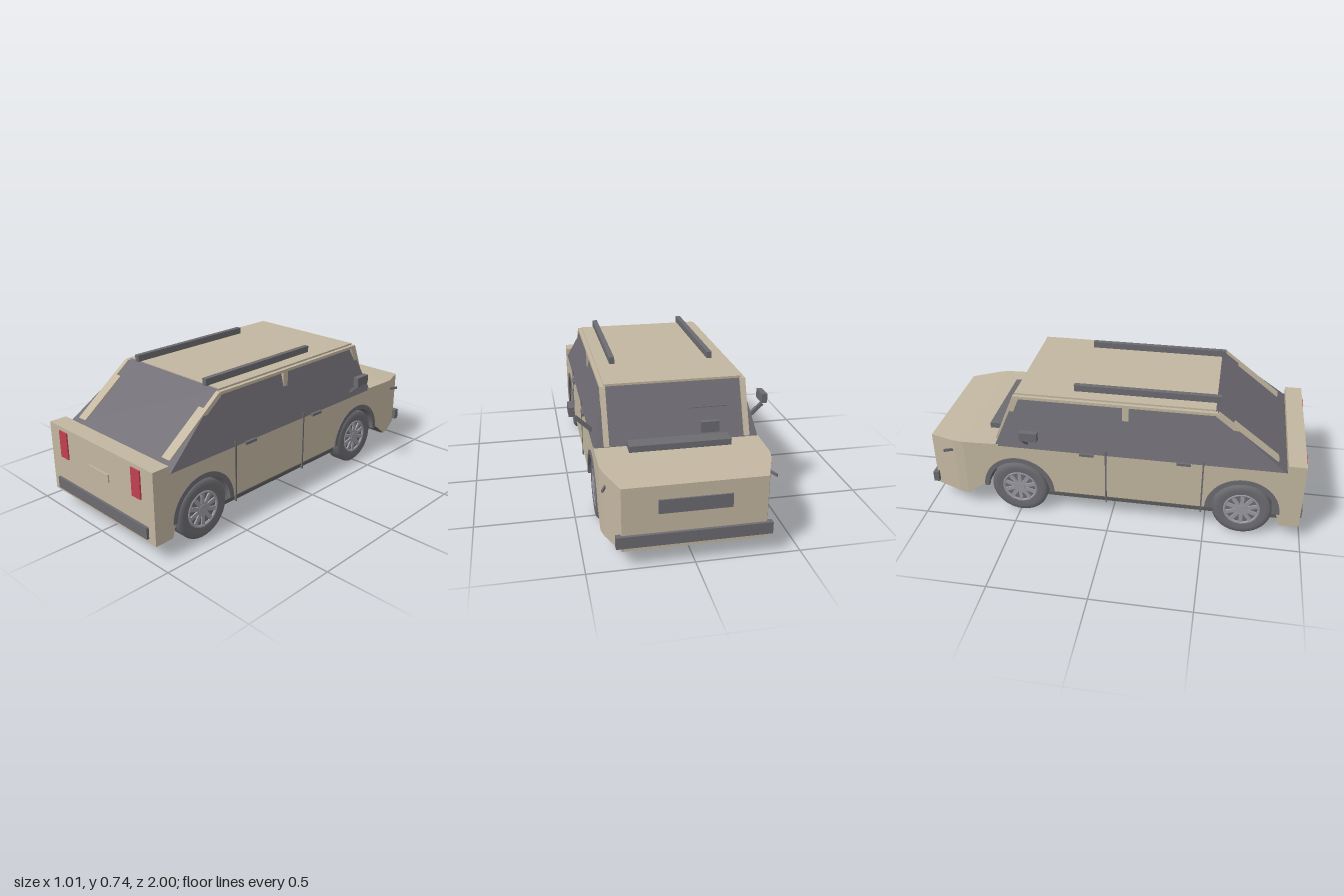
import * as THREE from 'three';

const mat = (name, color, side = THREE.FrontSide) => {
  const m = new THREE.MeshStandardMaterial({ color, side });
  m.name = name;
  return m;
};

export function createModel() {
  const paint = mat('beige paint', 0xc2b6a0);
  const trim = mat('grey trim', 0x6c6b70);
  const glass = mat('dark glass', 0x6f6c74);
  const under = mat('underbody', 0x5c5c5c);
  const alloy = mat('alloy', 0x9c9aa2);
  const red = mat('tail light red', 0xc0404f);

  const car = new THREE.Group();
  car.name = 'car';
  const add = (name, geo, material, parent = car) => {
    const m = new THREE.Mesh(geo, material);
    m.name = name;
    parent.add(m);
    return m;
  };
  // Box given by its limits on each axis
  const box = (name, [x0, x1], [y0, y1], [z0, z1], material, parent) => {
    const g = new THREE.BoxGeometry(x1 - x0, y1 - y0, z1 - z0);
    g.translate((x0 + x1) / 2, (y0 + y1) / 2, (z0 + z1) / 2);
    return add(name, g, material, parent);
  };
  // Side outline of [z, y] points, extruded from x0 to x1
  const across = (shape, x0, x1) => {
    const s = Array.isArray(shape) ? new THREE.Shape(shape.map(p => new THREE.Vector2(...p))) : shape;
    const g = new THREE.ExtrudeGeometry(s, { depth: x1 - x0, bevelEnabled: false, curveSegments: 20 });
    return g.rotateY(-Math.PI / 2).translate(x1, 0, 0);
  };
  const both = fn => [-1, 1].forEach(fn);
  const span = (s, a, b) => (s > 0 ? [a, b] : [-b, -a]);

  const axles = [0.69, -0.493], hubY = 0.153, archR = 0.175;

  // Lower body with wheel arches
  const body = new THREE.Shape();
  body.moveTo(-0.785, 0.085);
  body.lineTo(-0.785, 0.413);
  body.lineTo(0.9, 0.413);
  body.lineTo(0.9, 0.085);
  body.lineTo(axles[0] + 0.195, 0.085);
  body.lineTo(axles[0] + archR, hubY);
  body.absarc(axles[0], hubY, archR, 0, Math.PI, false);
  body.lineTo(axles[1] + archR, hubY);
  body.absarc(axles[1], hubY, archR, 0, Math.PI, false);
  body.lineTo(-0.7, hubY);
  add('lowerBody', across(body, -0.405, 0.405), [paint, under]);
  box('tail', [-0.407, 0.407], [0.085, 0.455], [0.895, 0.987], paint);
  box('tailUnderside', [-0.39, 0.39], [0.08, 0.086], [0.895, 0.98], under);
  box('floor', [-0.36, 0.36], [0.093, 0.114], [-0.62, 0.9], under);

  // Tapered nose, drawn in plan and sloped down to the front
  const plan = (w0, w1, z1) => new THREE.Shape([
    [-w0, 0.785], [w0, 0.785], [w0 - 0.012, 0.84], [w1, z1], [-w1, z1], [-w0 + 0.012, 0.84],
  ].map(p => new THREE.Vector2(...p)));
  const nose = new THREE.ExtrudeGeometry(plan(0.405, 0.335, 0.985), { depth: 0.329, bevelEnabled: false });
  nose.rotateX(-Math.PI / 2).translate(0, 0.085, 0);
  const np = nose.attributes.position;
  for (let i = 0; i < np.count; i++) {
    if (np.getY(i) > 0.3) np.setY(i, 0.416 + (np.getZ(i) + 0.785) * 0.09);
  }
  nose.computeVertexNormals();
  add('nose', nose, paint);
  const noseBase = new THREE.ExtrudeGeometry(plan(0.39, 0.32, 0.975), { depth: 0.006, bevelEnabled: false });
  add('noseUnderside', noseBase.rotateX(-Math.PI / 2).translate(0, 0.08, 0), under);
  add('hood', across([[-0.785, 0.4], [-0.785, 0.416], [-0.59, 0.422], [-0.59, 0.4]], -0.405, 0.405), paint);

  // Glass cabin, leaning in towards the roof
  const cabin = new THREE.BoxGeometry(2, 1, 1);
  const cp = cabin.attributes.position;
  for (let i = 0; i < cp.count; i++) {
    const top = cp.getY(i) > 0, rear = cp.getZ(i) > 0;
    cp.setXYZ(i, cp.getX(i) * (top ? 0.335 : 0.405), top ? 0.696 : 0.41,
      rear ? (top ? 0.52 : 0.89) : (top ? -0.49 : -0.61));
  }
  cabin.computeVertexNormals();
  add('cabinGlass', cabin, glass);
  box('roof', [-0.338, 0.338], [0.69, 0.701], [-0.5, 0.52], paint);

  // Pillars, roof edges and roof bars
  const rearZ = y => 0.52 + (0.696 - y) * 1.294;
  const slab = (y0, y1) => [[rearZ(y0), y0 - 0.02], [rearZ(y0) + 0.012, y0], [rearZ(y1) + 0.012, y1], [rearZ(y1), y1 - 0.02]];
  both(s => {
    add('rearPillar', across(slab(0.45, 0.63), ...span(s, 0.302, 0.358)), paint);
    add('rearPillarTop', across(slab(0.63, 0.692), ...span(s, 0.334, 0.358)), paint);
    add('frontPillar', across([[-0.47, 0.692], [-0.507, 0.692], [-0.617, 0.43], [-0.58, 0.43]], ...span(s, 0.332, 0.358)), paint);
    box('roofEdge', span(s, 0.33, 0.358), [0.677, 0.692], [-0.5, 0.53], paint);
    box('middlePillar', span(s, 0.33, 0.358), [0.59, 0.69], [0.058, 0.09], paint);
    box('roofBar', span(s, 0.244, 0.27), [0.7, 0.735], [-0.205, 0.54], trim);
  });

  // Bumpers, lights, plates and cowl
  box('rearBumper', [-0.36, 0.36], [0.107, 0.167], [0.98, 1], trim);
  box('frontBumper', [-0.362, 0.362], [0.108, 0.166], [-1, -0.97], trim);
  box('frontPlate', [-0.17, 0.17], [0.263, 0.33], [-0.993, -0.98], trim);
  box('rearPlate', [-0.077, 0.077], [0.29, 0.329], [0.98, 0.994], paint);
  both(s => box('tailLight', span(s, 0.256, 0.32), [0.292, 0.435], [0.985, 0.994], red));
  box('cowl', [-0.248, 0.248], [0.418, 0.45], [-0.68, -0.6], trim);
  box('cowlBox', [-0.21, -0.12], [0.455, 0.51], [-0.597, -0.57], trim);
  box('wiper', [-0.263, -0.07], [0.567, 0.571], [-0.549, -0.54], trim);

  // Arch trims, door seams, handles, side markers and mirrors
  const arch = new THREE.Shape();
  arch.absarc(0, 0, 0.192, 0, Math.PI, false);
  arch.absarc(0, 0, 0.167, Math.PI, 0, true);
  both(s => {
    axles.forEach(z => add('archTrim', across(arch, ...span(s, 0.385, 0.41)), trim).position.set(0, hubY, z));
    [0.48, -0.02].forEach(z => {
      box('doorSeam', span(s, 0.4, 0.408), [0.118, 0.44], [z - 0.004, z + 0.004], trim);
      box('doorHandle', span(s, 0.4, 0.417), [0.403, 0.417], [z - 0.135, z - 0.062], trim);
    });
    const marker = box('sideMarker', [-0.004, 0.004], [0.342, 0.356], [-0.055, 0.055], trim);
    marker.position.set(s * 0.383, 0, -0.847);
    marker.rotation.y = s * -0.4;

    const mirror = new THREE.Group();
    mirror.name = 'mirror';
    car.add(mirror);
    box('mirrorHead', span(s, 0.475, 0.504), [0.522, 0.57], [-0.44, -0.35], trim, mirror);
    const arm = add('mirrorArm', new THREE.BoxGeometry(0.12, 0.018, 0.018), trim, mirror);
    arm.position.set(s * 0.433, 0.48, -0.437);
    arm.rotation.z = s * 0.76;
  });

  // Wheels: lathed tyre, dark dish, alloy ring and ten spokes
  const tyreProfile = [[0.095, 0.043], [0.122, 0.046], [0.142, 0.044], [0.153, 0.034],
    [0.153, -0.034], [0.142, -0.044], [0.095, -0.043]].map(p => new THREE.Vector2(...p)).reverse();
  const makeWheel = () => {
    const wheel = new THREE.Group();
    wheel.name = 'wheel';
    add('tyre', new THREE.LatheGeometry(tyreProfile, 40), trim, wheel);
    add('dish', new THREE.CylinderGeometry(0.097, 0.097, 0.07, 32), trim, wheel);
    const ring = add('rim', new THREE.TorusGeometry(0.089, 0.008, 6, 32), alloy, wheel);
    ring.rotation.x = Math.PI / 2;
    ring.position.y = 0.038;
    add('hub', new THREE.CylinderGeometry(0.026, 0.026, 0.012, 20), alloy, wheel).position.y = 0.039;
    for (let i = 0; i < 10; i++) {
      const spoke = new THREE.BoxGeometry(0.075, 0.01, 0.02).translate(0.053, 0.038, 0);
      add('spoke', spoke, alloy, wheel).rotation.y = (i * Math.PI) / 5;
    }
    return wheel;
  };
  both(s => axles.forEach(z => {
    const wheel = makeWheel();
    wheel.rotation.z = -s * Math.PI / 2;
    wheel.position.set(s * 0.354, hubY, z);
    car.add(wheel);
  }));

  return car;
}
